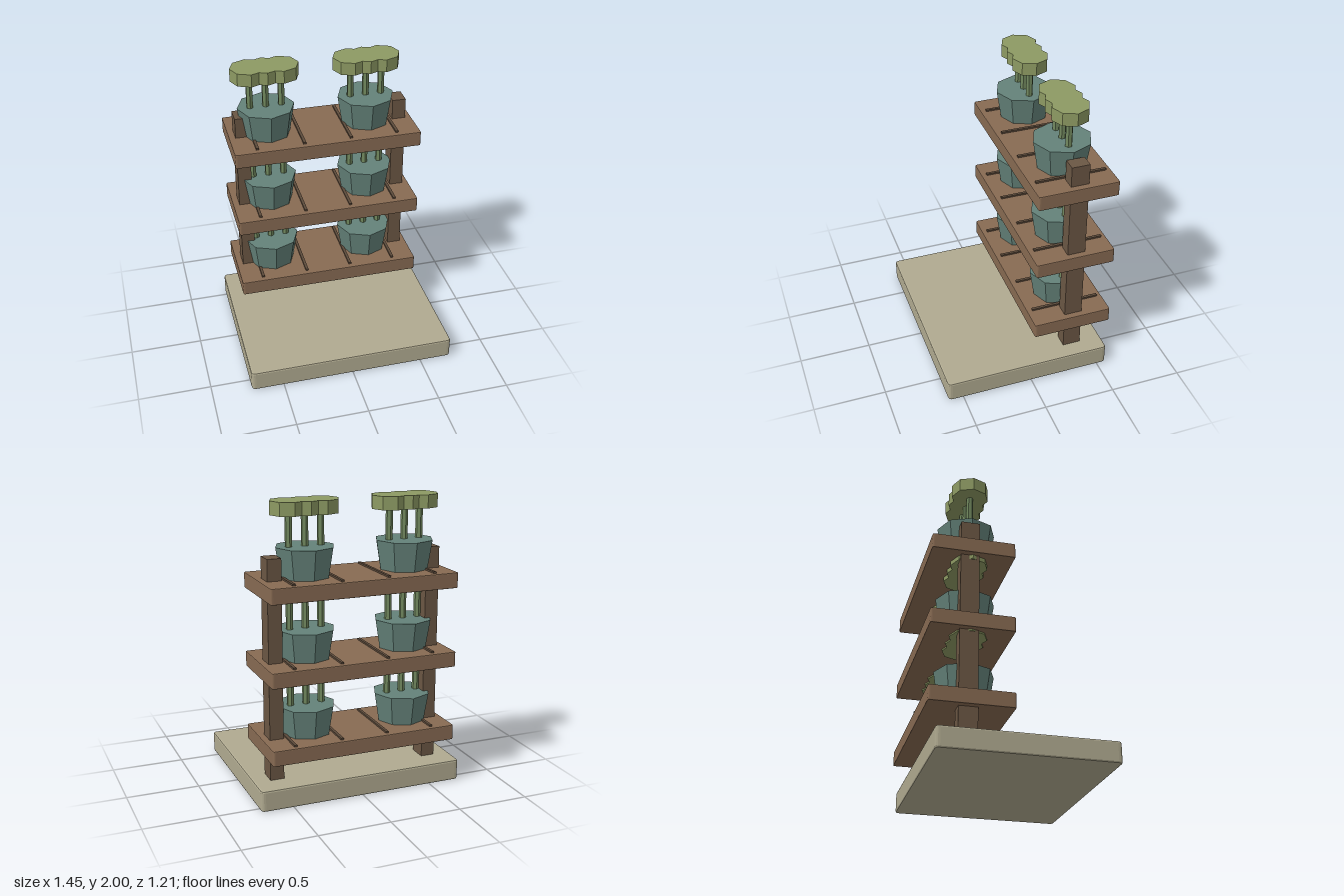
import * as THREE from 'three';

const mat = (color) => new THREE.MeshStandardMaterial({ color, flatShading: true });
const STONE = mat(0xb0aa90), WOOD = mat(0x876a52), POST = mat(0x6b5744), GROOVE = mat(0x5c4a3a);
const POT = mat(0x648279), STEM = mat(0x72895f), LEAF = mat(0x8d9a63);

function add(parent, name, geometry, material, x, y, z) {
  const mesh = new THREE.Mesh(geometry, material);
  mesh.name = name;
  mesh.position.set(x, y, z);
  parent.add(mesh);
  return mesh;
}

// Horizontal board with rounded corners and bevelled edges, sitting on y = 0
function board(w, h, d, corner, bevel) {
  const a = w / 2, b = d / 2, r = corner;
  const s = new THREE.Shape();
  s.moveTo(-a + r, -b);
  s.lineTo(a - r, -b);
  s.quadraticCurveTo(a, -b, a, -b + r);
  s.lineTo(a, b - r);
  s.quadraticCurveTo(a, b, a - r, b);
  s.lineTo(-a + r, b);
  s.quadraticCurveTo(-a, b, -a, b - r);
  s.lineTo(-a, -b + r);
  s.quadraticCurveTo(-a, -b, -a + r, -b);
  const g = new THREE.ExtrudeGeometry(s, {
    depth: h - 2 * bevel, curveSegments: 4, bevelEnabled: true,
    bevelSize: bevel, bevelThickness: bevel, bevelOffset: -bevel, bevelSegments: 2,
  });
  return g.rotateX(-Math.PI / 2).translate(0, bevel, 0);
}

// Eight-sided pot with three stems, each carrying a flat leaf cluster
function pottedPlant() {
  const plant = new THREE.Group();
  plant.name = 'pottedPlant';
  add(plant, 'pot', new THREE.CylinderGeometry(0.2, 0.168, 0.2, 8), POT, 0, 0.1, 0);
  for (const x of [-0.11, 0, 0.11]) {
    add(plant, 'stem', new THREE.CylinderGeometry(0.024, 0.024, 0.28, 6), STEM, x, 0.3, 0);
    add(plant, 'leafCluster', new THREE.CylinderGeometry(0.126, 0.126, 0.09, 8), LEAF, x, 0.455, 0);
  }
  return plant;
}

export function createModel() {
  const model = new THREE.Group();
  model.name = 'plantStand';

  // Ground slab
  add(model, 'baseSlab', board(1.45, 0.145, 1.174, 0.03, 0.012), STONE, 0, 0, 0.02);

  // Side posts
  for (const side of [-1, 1]) {
    add(model, 'post', new THREE.BoxGeometry(0.096, 1.5, 0.126), POST, side * 0.561, 0.895, -0.345);
  }

  // Three tiers: shelf, dark strips and two plants
  [0.43, 0.955, 1.5].forEach((top, i) => {
    const tier = new THREE.Group();
    tier.name = 'tier' + (i + 1);
    tier.position.y = top;
    add(tier, 'shelf', board(1.306, 0.105, 0.56, 0.016, 0.006), WOOD, 0, -0.105, -0.327);
    for (const x of [-0.493, -0.166, 0.161, 0.488]) {
      add(tier, 'shelfStrip', new THREE.BoxGeometry(0.02, 0.02, 0.49), GROOVE, x, 0.002, -0.33);
    }
    for (const x of [-0.383, 0.325]) {
      const plant = pottedPlant();
      plant.position.set(x, 0, -0.328);
      tier.add(plant);
    }
    model.add(tier);
  });

  return model;
}
